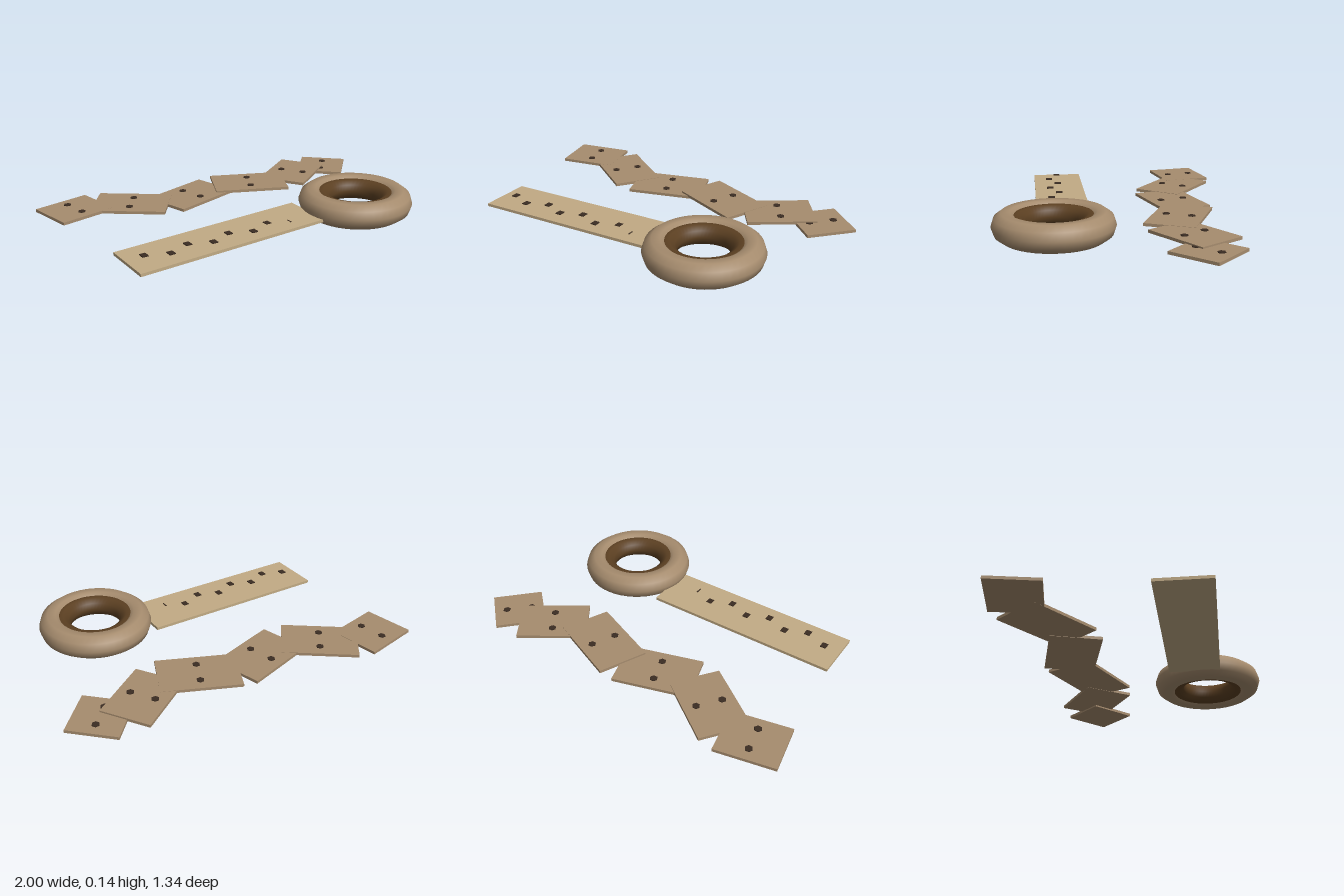
import * as THREE from 'three';

const mat = (name, color) => {
  const m = new THREE.MeshStandardMaterial({ color });
  m.name = name;
  return m;
};

export function createModel() {
  const tan = mat('tan', 0xa68c6e);
  const sand = mat('sand', 0xc2ab85);
  const brown = mat('brown', 0x5c4022);
  const dark = mat('dark', 0x3a2c22);

  const model = new THREE.Group();
  const add = (parent, name, geometry, material, x, y, z) => {
    const mesh = new THREE.Mesh(geometry, material);
    mesh.name = name;
    mesh.position.set(x, y, z);
    parent.add(mesh);
    return mesh;
  };

  // Padded ring with a darker lining
  const ring = (name, radius, tube, material) =>
    add(model, name, new THREE.TorusGeometry(radius, tube, 10, 48).rotateX(Math.PI / 2),
      material, 0.468, 0.069, 0.354);
  ring('ring', 0.239, 0.0725, tan);
  ring('ringLining', 0.192, 0.058, brown);

  // Long strip, rising slightly towards the ring
  const strip = add(model, 'strip', new THREE.BoxGeometry(1.085, 0.016, 0.291), sand, -0.3525, 0.0252, 0.29);
  strip.rotation.z = 0.0226;

  // Two staggered rows of marks above the strip
  const markGeometry = new THREE.BoxGeometry(0.032, 0.005, 0.038);
  for (let i = 0; i < 8; i++) {
    add(model, 'stripMark', markGeometry, dark, -0.805 + i * 0.12, 0.0393, i % 2 ? 0.345 : 0.295);
  }

  // Winding chain of overlapping plates: x, z, top height, width, turn in degrees
  const plates = [
    [-0.819, -0.507, 0.0230, 0.321, 10.8],
    [-0.516, -0.415, 0.0225, 0.417, -36.8],
    [-0.163, -0.351, 0.0205, 0.417, 15.8],
    [0.218, -0.321, 0.0300, 0.430, -24.0],
    [0.557, -0.337, 0.0285, 0.382, 33.4],
    [0.803, -0.353, 0.0200, 0.273, -44.0],
  ];
  const studGeometry = new THREE.CylinderGeometry(0.021, 0.021, 0.008, 6).rotateY(Math.PI / 6);
  for (const [x, z, top, width, turn] of plates) {
    const plate = new THREE.Group();
    plate.name = 'chainPlate';
    plate.position.set(x, top, z);
    plate.rotation.y = THREE.MathUtils.degToRad(turn);
    add(plate, 'plate', new THREE.BoxGeometry(width, 0.016, 0.277), tan, 0, -0.008, 0);
    for (const side of [-1, 1]) {
      const stud = add(plate, 'stud', studGeometry, dark, 0, 0, side * 0.07);
      stud.rotation.y = -plate.rotation.y;
    }
    model.add(plate);
  }

  return model;
}
